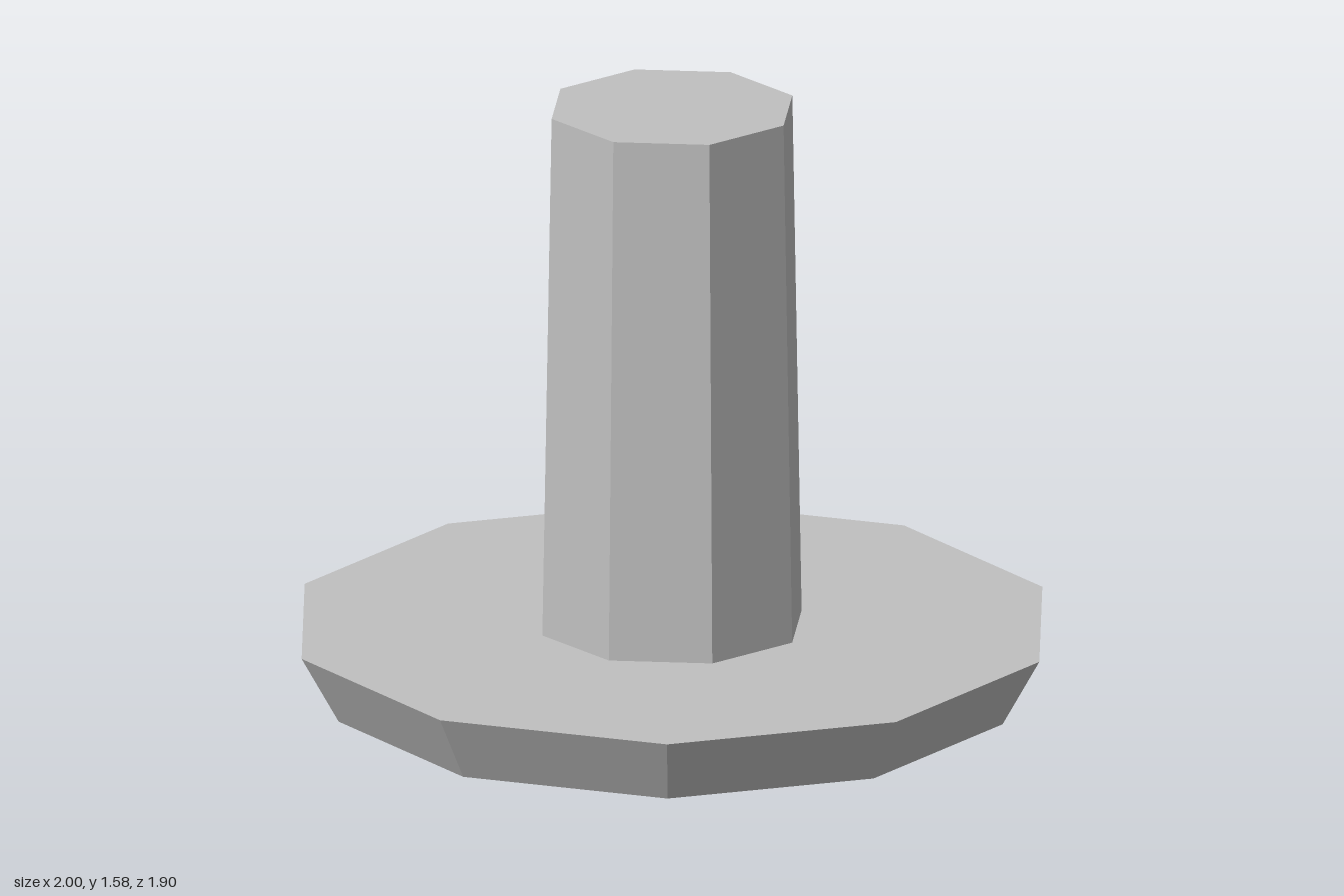
import * as THREE from 'three';

export function createModel() {
  const group = new THREE.Group();
  const grey = new THREE.MeshStandardMaterial({ color: 0xc0c0c0, flatShading: true });
  grey.name = 'light grey';

  // Tapered prism standing on height y
  const prism = (name, topRadius, bottomRadius, height, sides, y, start) => {
    const geometry = new THREE.CylinderGeometry(
      topRadius, bottomRadius, height, sides, 1, false, start);
    geometry.translate(0, y + height / 2, 0);
    const mesh = new THREE.Mesh(geometry, grey);
    mesh.name = name;
    group.add(mesh);
  };

  // Ten-sided foot flaring upwards, corners on the x axis
  prism('base', 1, 0.9, 0.18, 10, 0, Math.PI / 2);
  // Eight-sided post, narrowing slightly towards the top
  prism('post', 0.325, 0.35, 1.4, 8, 0.18, 0);

  return group;
}
